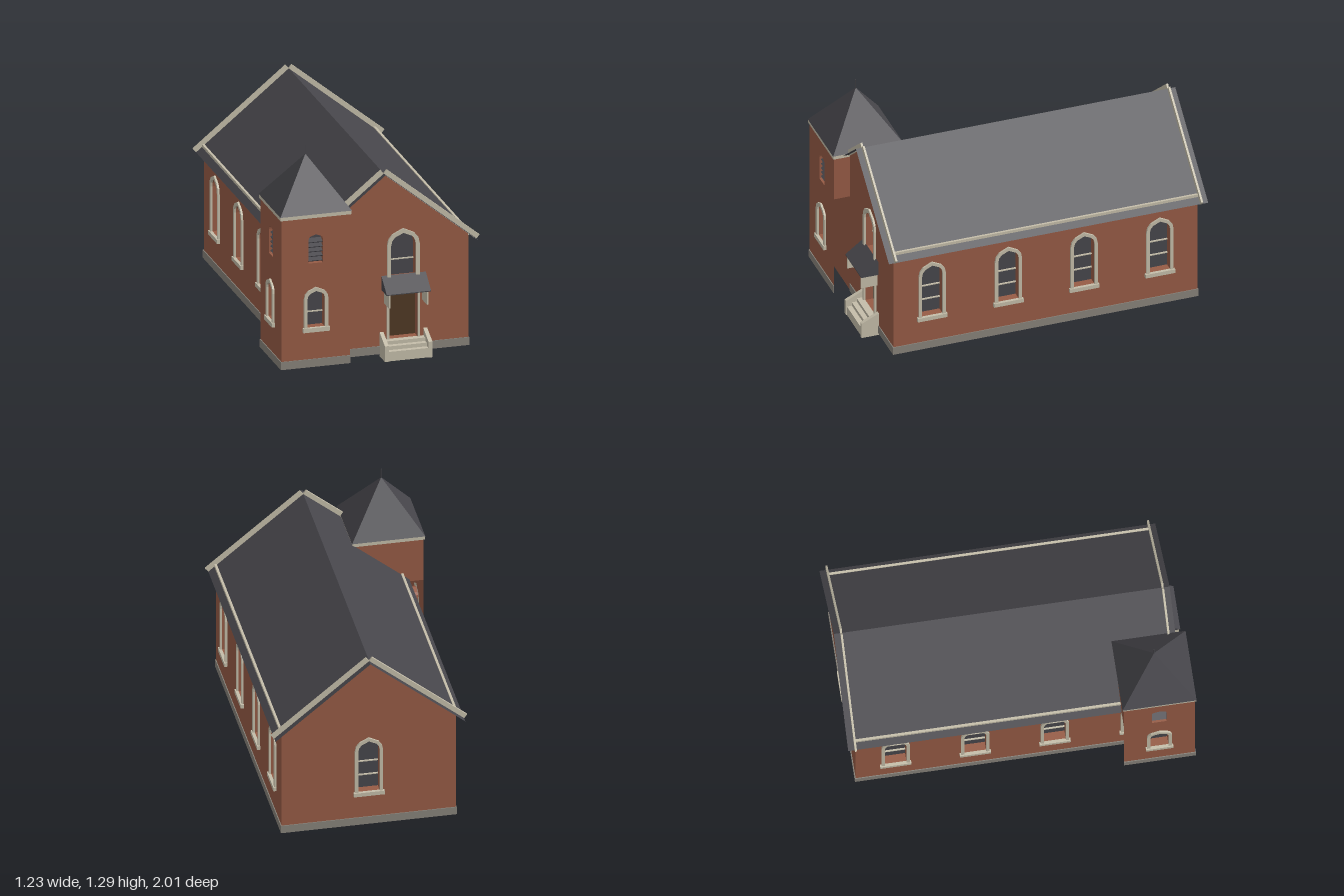
import * as THREE from 'three';

const mat = (name, color, side = THREE.FrontSide) => {
  const m = new THREE.MeshStandardMaterial({ color, side });
  m.name = name;
  return m;
};

export function createModel() {
  const brick = mat('brick', 0x965b45, THREE.DoubleSide);
  const slate = mat('slate', 0x47464b, THREE.DoubleSide);
  const trim = mat('limestone trim', 0xc4bda9);
  const stone = mat('foundation stone', 0x87827a);
  const wood = mat('door wood', 0x4f3824, THREE.DoubleSide);
  const model = new THREE.Group();
  model.name = 'church';

  const add = (parent, name, geo, material, x = 0, y = 0, z = 0) => {
    const m = new THREE.Mesh(geo, material);
    m.name = name;
    m.position.set(x, y, z);
    parent.add(m);
    return m;
  };
  // box from its minimum and maximum corners
  const box = (parent, name, material, x0, x1, y0, y1, z0, z1) =>
    add(parent, name, new THREE.BoxGeometry(x1 - x0, y1 - y0, z1 - z0), material,
      (x0 + x1) / 2, (y0 + y1) / 2, (z0 + z1) / 2);
  const toShape = pts => new THREE.Shape(pts.map(p => new THREE.Vector2(p[0], p[1])));

  // outline of a pointed arch, counter-clockwise from the bottom right
  const arch = (u, h, y0, spring, top) => {
    const r = top - spring;
    const half = [[h, y0], [h, spring], [h * 0.92, spring + r * 0.38], [h * 0.68, spring + r * 0.68]];
    return [...half, [0, top], ...half.map(p => [-p[0], p[1]]).reverse()].map(p => [p[0] + u, p[1]]);
  };

  // reveal around an opening, running inwards from the wall face
  const reveal = (pts, depth) => {
    const pos = [];
    pts.forEach((a, i) => {
      const b = pts[(i + 1) % pts.length];
      pos.push(a[0], a[1], 0, b[0], b[1], -depth, b[0], b[1], 0);
      pos.push(a[0], a[1], 0, a[0], a[1], -depth, b[0], b[1], -depth);
    });
    const g = new THREE.BufferGeometry();
    g.setAttribute('position', new THREE.Float32BufferAttribute(pos, 3));
    g.computeVertexNormals();
    return g;
  };

  const DEPTH = 0.048;
  // wall in its own plane: x along, y up, z outwards
  const wall = (name, outline, openings, x, z, turn) => {
    const g = new THREE.Group();
    g.name = name;
    g.position.set(x, 0, z);
    g.rotation.y = turn;
    model.add(g);
    const s = toShape(outline);
    for (const o of openings) {
      const pts = o.spring ? arch(o.u, o.h, o.y0, o.spring, o.top)
        : [[o.u + o.h, o.y0], [o.u + o.h, o.top], [o.u - o.h, o.top], [o.u - o.h, o.y0]];
      s.holes.push(new THREE.Path(pts.map(p => new THREE.Vector2(p[0], p[1]))));
      add(g, 'reveal', reveal(pts, DEPTH), brick);
      add(g, o.door ? 'door' : 'windowPane', new THREE.ShapeGeometry(toShape(pts)), o.door ? wood : slate, 0, 0, -DEPTH);
      for (const y of o.bars || [])
        box(g, 'glazingBar', trim, o.u - o.h, o.u + o.h, y - 0.003, y + 0.003, -DEPTH, -DEPTH + 0.01);
      for (const y of o.slats || []) {
        const slat = box(g, 'louverSlat', slate, o.u - o.h, o.u + o.h, y - 0.003, y + 0.003, -0.043, -0.008);
        slat.rotation.x = 0.5;
      }
      if (o.frame) {
        const t = o.frame;
        const outer = o.spring ? arch(o.u, o.h + t, o.y0, o.spring, o.top + t * 1.15)
          : [[o.u + o.h + t, o.y0], [o.u + o.h + t, o.top + t], [o.u - o.h - t, o.top + t], [o.u - o.h - t, o.y0]];
        add(g, 'openingFrame', new THREE.ExtrudeGeometry(toShape([...outer, ...pts.slice().reverse()]),
          { depth: 0.012, bevelEnabled: false }), trim);
      }
      if (o.sill) box(g, 'sill', trim, o.u - o.h - 0.027, o.u + o.h + 0.027, o.y0 - o.sill, o.y0, 0, 0.019);
    }
    add(g, name + 'Face', new THREE.ShapeGeometry(s), brick);
    return g;
  };
  const rect = (u0, u1, y0, y1) => [[u0, y0], [u1, y0], [u1, y1], [u0, y1]];
  const plinth = (g, u0, u1) => box(g, 'plinth', stone, u0, u1, 0.014, 0.062, 0, 0.005);

  // nave walls
  const CX = 0.047, HW = 0.508, ZF = 0.895, ZB = -0.95, RIDGE = 1.11, SLOPE = 0.815;
  const eave = RIDGE - HW * SLOPE;
  const gable = [[-HW, 0.015], [HW, 0.015], [HW, eave], [0, RIDGE - 0.002], [-HW, eave]];
  const nave = u => ({ u, h: 0.063, y0: 0.233, spring: 0.505, top: 0.57, bars: [0.32, 0.41], frame: 0.019, sill: 0.024 });
  const bays = [0.663, 0.2, -0.26, -0.72];

  const front = wall('frontWall', gable, [
    { u: 0.118, h: 0.074, y0: 0.47, spring: 0.665, top: 0.738, bars: [0.565], frame: 0.023 },
    { u: 0.118, h: 0.085, y0: 0.1, top: 0.366, door: true, frame: 0.014 },
  ], CX, ZF, 0);
  plinth(front, -0.22, HW + 0.005);
  plinth(wall('backWall', gable, [nave(0)], CX, ZB, Math.PI), -HW - 0.005, HW + 0.005);
  plinth(wall('rightSideWall', rect(-ZF, -ZB, 0.015, eave), bays.map(z => nave(-z)), CX + HW, 0, Math.PI / 2), -ZF, -ZB);
  plinth(wall('leftSideWall', rect(ZB, ZF, 0.015, eave), bays.map(z => nave(z)), CX - HW, 0, -Math.PI / 2), ZB, 0.6);

  // nave roof, gable copings and eave strips
  const RW = 0.554, angle = Math.atan(SLOPE), len = RW * Math.hypot(1, SLOPE);
  for (const s of [-1, 1]) {
    const slope = new THREE.Group();
    slope.name = 'roofSlope';
    slope.position.set(CX, RIDGE, 0);
    slope.rotation.z = -s * angle;
    model.add(slope);
    const plane = new THREE.PlaneGeometry(len, 1.94).rotateX(-Math.PI / 2);
    add(slope, 'roofSlates', plane, slate, s * len / 2, 0, -0.03);
    for (const z of [0.9, -0.957])
      add(slope, 'gableCoping', new THREE.BoxGeometry(len, 0.033, 0.012), trim, s * len / 2, 0.012, z);
    box(model, 'eaveStrip', trim, CX + s * (HW + 0.004) - 0.007, CX + s * (HW + 0.004) + 0.007,
      eave - 0.015, eave + 0.008, ZB, ZF);
  }

  // corner tower: two full outer walls and two walls above the nave roof
  const TX = -0.385, TZ = 0.785, TH = 0.205;
  const towerOpenings = [
    { u: 0, h: 0.052, y0: 0.255, spring: 0.43, top: 0.475, bars: [0.336], frame: 0.02, sill: 0.026 },
    { u: 0, h: 0.043, y0: 0.642, spring: 0.785, top: 0.815, slats: [0.66, 0.688, 0.716, 0.744, 0.772] },
  ];
  const towerFace = rect(-TH, TH, 0.015, 0.925), upperFace = rect(-TH, TH, 0.645, 0.925);
  plinth(wall('towerFrontWall', towerFace, towerOpenings, TX, TZ + TH, 0), -TH - 0.005, TH);
  plinth(wall('towerLeftWall', towerFace, towerOpenings, TX - TH, TZ, -Math.PI / 2), -TH, TH);
  wall('towerInnerWall', upperFace, [], TX + TH, TZ, Math.PI / 2);
  wall('towerBackWall', upperFace, [], TX, TZ - TH, Math.PI);
  box(model, 'towerCornice', trim, TX - 0.212, TX + 0.212, 0.918, 0.94, TZ - 0.212, TZ + 0.212);
  const spire = new THREE.ConeGeometry(0.214 * Math.SQRT2, 0.295, 4).rotateY(Math.PI / 4).toNonIndexed();
  spire.computeVertexNormals();
  add(model, 'towerRoof', spire, slate, TX, 0.94 + 0.1475, TZ);
  add(model, 'finial', new THREE.CylinderGeometry(0.003, 0.003, 0.08, 8), slate, TX, 1.25, TZ);

  // profile given as z, y and extruded across x
  const across = (name, pts, material, x0, x1) => {
    const geo = new THREE.ExtrudeGeometry(toShape(pts.map(p => [-p[0], p[1]])), { depth: x1 - x0, bevelEnabled: false });
    add(model, name, geo.rotateY(Math.PI / 2), material, x0, 0, 0);
  };

  // door canopy on side brackets
  across('canopyRoof', [[ZF, 0.4], [1, 0.4], [1, 0.405], [ZF, 0.485]], slate, 0.036, 0.301);
  for (const x of [0.05, 0.277])
    box(model, 'canopyBracket', trim, x, x + 0.008, 0.32, 0.4, ZF, 0.996);

  // entrance steps between sloped cheek walls
  across('steps', [[ZF, 0], [0.995, 0], [0.995, 0.057], [0.965, 0.057], [0.965, 0.079],
    [0.935, 0.079], [0.935, 0.1], [ZF, 0.1]], trim, 0.047, 0.287);
  for (const x of [0.025, 0.286])
    across('stepCheek', [[ZF, 0], [1, 0], [1, 0.095], [ZF, 0.145]], trim, x, x + 0.023);

  return model;
}
